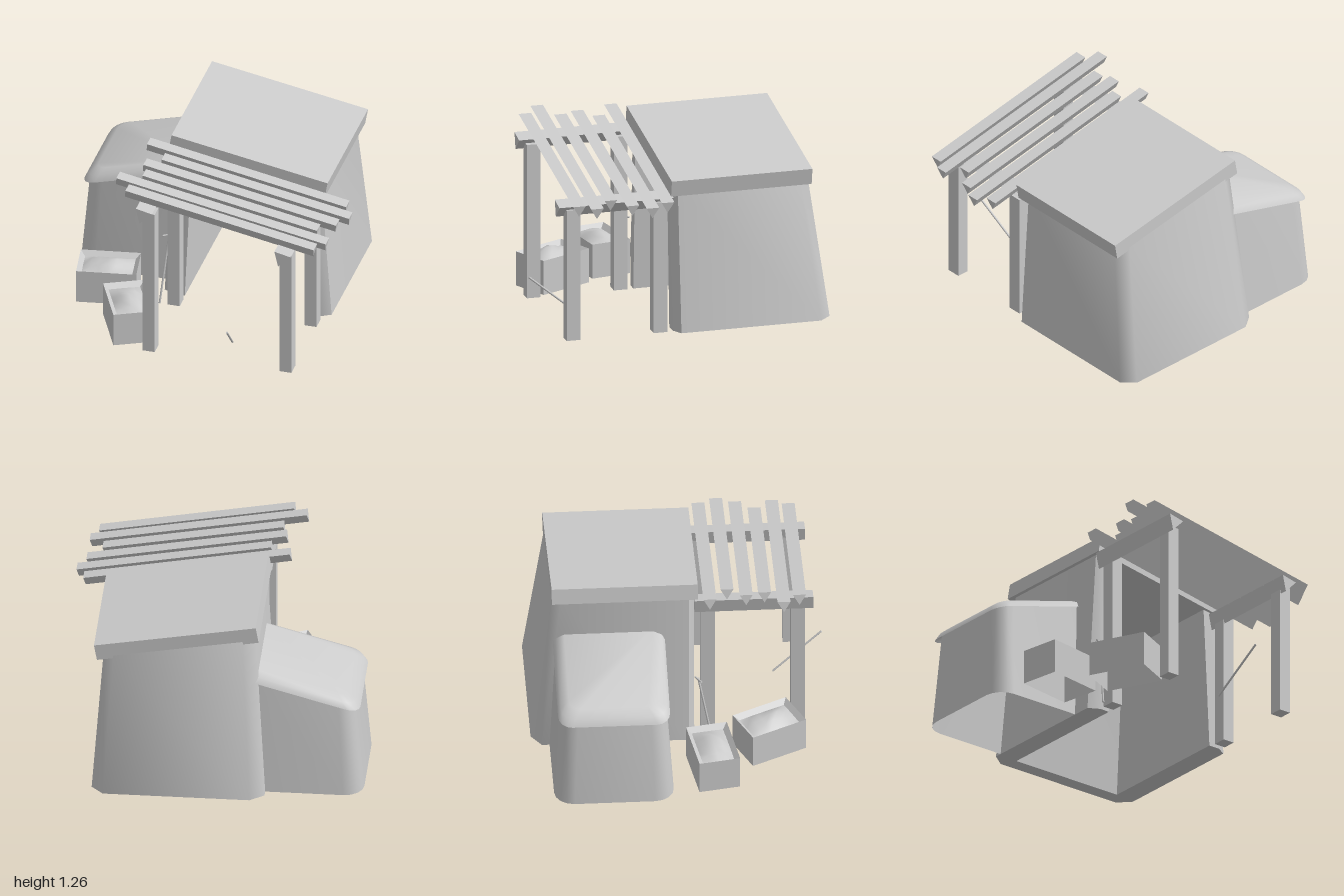
import * as THREE from 'three';
import { toCreasedNormals } from 'three/addons/utils/BufferGeometryUtils.js';

const material = new THREE.MeshStandardMaterial({ color: 0xcccccc, side: THREE.DoubleSide });

function add(parent, name, geometry) {
  const mesh = new THREE.Mesh(geometry, material);
  mesh.name = name;
  parent.add(mesh);
  return mesh;
}

// Skin a stack of closed rings, each running front (+x), right (-z), back, left
function loft(rings, cap, crease) {
  const n = rings[0].length, pos = rings.flat(2), index = [];
  for (let r = 0; r < rings.length - 1; r++) {
    for (let i = 0; i < n; i++) {
      const a = r * n + i, b = r * n + (i + 1) % n;
      index.push(a, b, a + n, b, b + n, a + n);
    }
  }
  if (cap) {
    const start = (rings.length - 1) * n;
    for (let i = 1; i < n - 1; i++) index.push(start, start + i, start + i + 1);
  }
  const g = new THREE.BufferGeometry();
  g.setAttribute('position', new THREE.Float32BufferAttribute(pos, 3));
  g.setIndex(index);
  return toCreasedNormals(g, crease);
}

// Outline with two rounded corners on the -x side; height(x) gives y
function outline(x0, x1, z0, z1, r, height) {
  const pts = [[x1, z1], [x1, z0]], steps = 4;
  for (let i = 0; i <= steps; i++) {
    const a = (i / steps) * Math.PI / 2;
    pts.push([x0 + r - r * Math.sin(a), z0 + r - r * Math.cos(a)]);
  }
  for (let i = 0; i <= steps; i++) {
    const a = (i / steps) * Math.PI / 2;
    pts.push([x0 + r - r * Math.cos(a), z1 - r + r * Math.sin(a)]);
  }
  return pts.map(([x, z]) => [x, height(x), z]);
}

function rectRing(w, d, y) {
  return [[-w / 2, y, d / 2], [w / 2, y, d / 2], [w / 2, y, -d / 2], [-w / 2, y, -d / 2]];
}

function prism(points, depth) {
  const shape = new THREE.Shape(points.map(([x, y]) => new THREE.Vector2(x, y)));
  return new THREE.ExtrudeGeometry(shape, { depth, bevelEnabled: false });
}

function stick(parent, name, from, to, radius) {
  const a = new THREE.Vector3(...from), b = new THREE.Vector3(...to);
  const mesh = add(parent, name, new THREE.CylinderGeometry(radius, radius, a.distanceTo(b), 6));
  mesh.position.copy(a).lerp(b, 0.5);
  mesh.quaternion.setFromUnitVectors(new THREE.Vector3(0, 1, 0), b.sub(a).normalize());
}

// Thick walls in a U plan, open at the front, leaning inward as they rise
function shelterWalls() {
  const plan = [
    [-0.206, 0.10], [-0.28, 0.10], [-0.355, 0.06], [-0.355, -0.91], [-0.26, -0.98],
    [0.71, -0.98], [0.79, -0.90], [0.79, 0.06], [0.72, 0.10], [0.64, 0.10],
    [0.64, -0.88], [-0.206, -0.88],
  ];
  const g = prism(plan.map(([x, z]) => [x, -z]), 1).rotateX(-Math.PI / 2);
  const p = g.attributes.position;
  for (let i = 0; i < p.count; i++) {
    const x = p.getX(i), z = p.getZ(i);
    if (p.getY(i) < 0.5) {
      p.setY(i, 0.016);
    } else {
      const topX = 0.2175 + (x - 0.2175) * 0.88;
      p.setXYZ(i, topX, 1.12 - 0.176 * topX, 0.1 + (z - 0.1) * 0.872);
    }
  }
  return toCreasedNormals(g, 1);
}

// Planter box with a sloping inner rim and a heap of soil
function planter(x, z, angle) {
  const group = new THREE.Group();
  group.name = 'planter';
  add(group, 'planterBox', loft(
    [rectRing(0.4, 0.275, 0.016), rectRing(0.4, 0.275, 0.252), rectRing(0.335, 0.21, 0.22)], false, 0.3));
  const soil = new THREE.PlaneGeometry(0.34, 0.215, 6, 4).rotateX(-Math.PI / 2);
  const p = soil.attributes.position;
  for (let i = 0; i < p.count; i++) {
    const u = p.getX(i) / 0.17, v = p.getZ(i) / 0.1075;
    const lump = 0.85 + 0.15 * Math.sin(u * 5 + v * 3);
    p.setY(i, 0.22 + 0.068 * (1 - u * u) * (1 - v * v) * lump);
  }
  soil.computeVertexNormals();
  add(group, 'soil', soil);
  group.position.set(x, 0, z);
  group.rotation.y = angle;
  return group;
}

export function createModel() {
  const model = new THREE.Group();

  // Main shelter and its sloping slab roof
  add(model, 'shelterWalls', shelterWalls());
  const roof = add(model, 'mainRoof', new THREE.BoxGeometry(1.087, 0.112, 0.965));
  roof.position.set(0.235, 1.11, -0.36);
  roof.rotation.z = -0.175;

  // Side annex with rounded outer corners and a soft-edged lean-to roof
  const eave = (x) => 0.635 + 0.281 * (x + 0.975);
  add(model, 'annexWalls', loft([
    outline(-1, -0.27, -0.86, -0.07, 0.13, () => 0.016),
    outline(-0.945, -0.27, -0.815, -0.115, 0.11, (x) => eave(x) + 0.02),
  ], false, 0.9));
  add(model, 'annexRoof', loft([
    outline(-0.975, -0.27, -0.835, -0.095, 0.09, eave),
    outline(-0.95, -0.27, -0.815, -0.115, 0.09, (x) => eave(x) + 0.04),
    outline(-0.895, -0.27, -0.76, -0.17, 0.07, (x) => eave(x) + 0.068),
  ], true, 0.9));

  // Pergola posts and triangular beams
  for (const [x, top, beamX, beamY] of [[-0.243, 1.08, -0.315, 1.14], [0.695, 0.92, 0.635, 0.97]]) {
    for (const z of [0.188, 0.785]) {
      const post = add(model, 'pergolaPost', new THREE.BoxGeometry(0.083, top - 0.016, 0.094));
      post.position.set(x, (top + 0.016) / 2, z);
    }
    const beam = add(model, 'pergolaBeam', prism([[0, 0], [0.025, -0.11], [0.11, -0.025]], 0.785));
    beam.position.set(beamX, beamY, 0.1);
  }

  // Tilted triangular rafters: z, left end, right end
  const rafters = [
    [0.195, -0.44, 0.94], [0.315, -0.305, 0.995], [0.437, -0.395, 0.94],
    [0.56, -0.365, 0.845], [0.68, -0.51, 0.94], [0.788, -0.417, 0.888],
  ];
  for (const [z, x0, x1] of rafters) {
    const start = x0 + 0.014;
    const g = prism([[-0.043, 0], [0, -0.075], [0.043, 0]], (x1 - start) / Math.cos(0.184));
    const rafter = add(model, 'rafter', g.rotateY(Math.PI / 2));
    rafter.position.set(start, 1.157 - 0.186 * start, z);
    rafter.rotation.z = -0.184;
  }

  // Planters beside the pergola
  model.add(planter(-0.70, 0.20, 0.166), planter(-0.45, 0.586, -1.12));

  // Loose stick and leaning hand tool
  stick(model, 'looseStick', [0.28, 0.07, 0.65], [0.335, 0.345, 0.975], 0.007);
  stick(model, 'toolHandle', [-0.345, 0.005, 0.215], [-0.305, 0.49, 0.125], 0.007);
  stick(model, 'toolHead', [-0.345, 0.485, 0.145], [-0.285, 0.485, 0.105], 0.006);

  return model;
}
